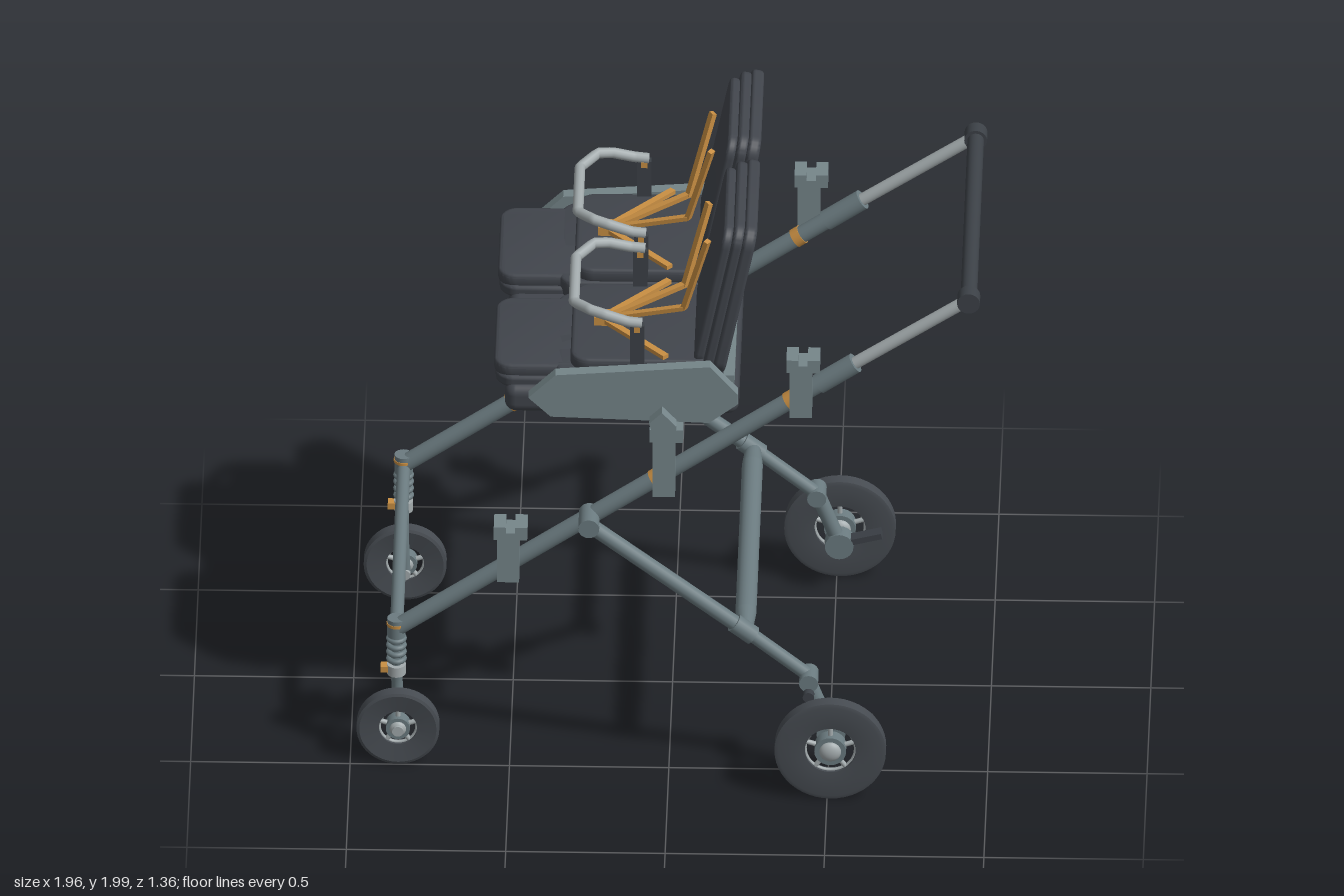
import * as THREE from 'three';
import { toCreasedNormals } from 'three/addons/utils/BufferGeometryUtils.js';
import { RoundedBoxGeometry } from 'three/addons/geometries/RoundedBoxGeometry.js';

const mat = (name, color) => {
  const m = new THREE.MeshStandardMaterial({ color });
  m.name = name;
  return m;
};
const M = {
  frame: mat('frame grey', 0x6b7b80),
  panel: mat('panel grey', 0x76868a),
  metal: mat('light metal', 0xa3abad),
  fabric: mat('dark fabric', 0x41454c),
  tyre: mat('tyre dark', 0x464b51),
  grip: mat('grip dark', 0x3c4147),
  strap: mat('orange strap', 0xc98f43),
};
const V = (x, y, z) => new THREE.Vector3(x, y, z);

function add(parent, name, geo, material, x = 0, y = 0, z = 0) {
  const m = new THREE.Mesh(geo, material);
  m.name = name;
  m.position.set(x, y, z);
  parent.add(m);
  return m;
}
const box = (p, name, w, h, d, material, x, y, z) =>
  add(p, name, new THREE.BoxGeometry(w, h, d), material, x, y, z);

// round rod between two points
function rod(p, name, a, b, r, material, r2 = r) {
  const d = b.clone().sub(a);
  const c = a.clone().add(b).multiplyScalar(0.5);
  const m = add(p, name, new THREE.CylinderGeometry(r2, r, d.length(), 20), material, c.x, c.y, c.z);
  m.quaternion.setFromUnitVectors(V(0, 1, 0), d.normalize());
  return m;
}

// flat strap between two points
function strap(p, name, a, b, w, t) {
  const m = new THREE.Mesh(new THREE.BoxGeometry(w, t, a.distanceTo(b)), M.strap);
  m.name = name;
  m.position.copy(a).add(b).multiplyScalar(0.5);
  m.lookAt(b);
  p.add(m);
}

// padded slab with rounded corners, centred, thickness along z
function slab(w, h, t, r) {
  const e = Math.min(0.012, t * 0.35), x = w / 2 - e, y = h / 2 - e;
  const s = new THREE.Shape();
  s.moveTo(-x + r, -y);
  s.lineTo(x - r, -y).absarc(x - r, -y + r, r, -Math.PI / 2, 0);
  s.lineTo(x, y - r).absarc(x - r, y - r, r, 0, Math.PI / 2);
  s.lineTo(-x + r, y).absarc(-x + r, y - r, r, Math.PI / 2, Math.PI);
  s.lineTo(-x, -y + r).absarc(-x + r, -y + r, r, Math.PI, Math.PI * 1.5);
  const g = new THREE.ExtrudeGeometry(s, {
    depth: t - 2 * e, bevelThickness: e, bevelSize: e, bevelSegments: 3, curveSegments: 6,
  });
  g.translate(0, 0, -t / 2 + e);
  return toCreasedNormals(g, 0.7);
}

// side-view polygon with thickness along z
function plate(points, z0, z1) {
  const s = new THREE.Shape(points.map(([x, y]) => new THREE.Vector2(x, y)));
  return new THREE.ExtrudeGeometry(s, { depth: z1 - z0, bevelEnabled: false }).translate(0, 0, z0);
}

function wheel(p, name, x, y, z, R, ri, w, hubR) {
  const g = new THREE.Group();
  g.name = name;
  g.position.set(x, y, z);
  const prof = [[ri, -0.3], [R * 0.93, -0.5], [R, -0.42], [R, 0.42], [R * 0.93, 0.5], [ri, 0.3], [ri, -0.3]]
    .map(([r, t]) => new THREE.Vector2(r, t * w));
  const tyre = new THREE.LatheGeometry(prof, 48).rotateX(Math.PI / 2);
  add(g, 'tyre', toCreasedNormals(tyre, 0.5), M.tyre);
  add(g, 'rim', new THREE.TorusGeometry(ri, 0.006, 8, 36), M.metal);
  add(g, 'hub', new THREE.CylinderGeometry(hubR, hubR, w * 0.9, 24).rotateX(Math.PI / 2), M.frame);
  const cap = add(g, 'hubCap', new THREE.SphereGeometry(hubR * 0.7, 20, 12), M.metal, 0, 0, w * 0.4);
  cap.scale.z = 0.6;
  for (let i = 0; i < 5; i++) {
    const a = Math.PI / 2 + i * Math.PI * 0.4, c = Math.cos(a), s = Math.sin(a);
    rod(g, 'spoke', V(c * hubR * 0.8, s * hubR * 0.8, 0), V(c * (ri + 0.004), s * (ri + 0.004), 0), 0.008, M.metal);
  }
  p.add(g);
}

// accessory socket with a notched head
function socket(p, x, y0, y1, z) {
  const h = y1 - 0.045;
  box(p, 'socketBody', 0.07, h - y0, 0.07, M.panel, x, (y0 + h) / 2, z);
  box(p, 'socketHead', 0.105, 0.025, 0.08, M.panel, x + 0.008, h + 0.0125, z);
  for (const s of [-1, 1])
    box(p, 'socketLug', 0.038, 0.022, 0.08, M.panel, x + 0.008 + s * 0.0335, h + 0.035, z);
}

// one side of the chassis, s = +1 or -1 in z
function side(s) {
  const g = new THREE.Group();
  g.name = s > 0 ? 'frontSideFrame' : 'backSideFrame';
  const z = 0.476 * s, zl = 0.53 * s;
  const onRail = t => V(-0.86 + 1.43 * t, 0.49 + t, z);

  rod(g, 'mainRail', onRail(0), onRail(1), 0.028, M.frame);
  rod(g, 'railCollar', onRail(0.93), onRail(1.01), 0.033, M.frame);
  rod(g, 'handleTube', onRail(1), V(0.94, 1.74, z), 0.02, M.metal);
  rod(g, 'handleKnuckle', V(0.94, 1.74, z - 0.025), V(0.94, 1.74, z + 0.025), 0.036, M.grip);
  for (const t of [0.245, 0.575, 0.87]) rod(g, 'railClip', onRail(t - 0.008), onRail(t + 0.008), 0.031, M.strap);

  // rear leg hinged on the rail
  const top = V(-0.25, 0.92, zl), knee = V(0.24, 0.535, zl), foot = V(0.44, 0.37, zl);
  rod(g, 'legHinge', V(-0.25, 0.92, z - 0.02 * s), V(-0.25, 0.92, zl + 0.028 * s), 0.033, M.frame);
  rod(g, 'rearLeg', top, knee, 0.025, M.frame);
  rod(g, 'rearLegLower', knee, foot, 0.022, M.frame);
  rod(g, 'legCollar', V(0.205, 0.562, zl), V(0.265, 0.515, zl), 0.031, M.frame);
  rod(g, 'ankle', V(0.44, 0.365, zl - 0.03 * s), V(0.44, 0.365, zl + 0.045 * s), 0.03, M.frame);
  rod(g, 'rearArm', V(0.44, 0.36, 0.55 * s), V(0.51, 0.175, 0.55 * s), 0.024, M.frame);
  rod(g, 'axleBoss', V(0.51, 0.175, 0.522 * s), V(0.51, 0.175, 0.575 * s), 0.045, M.frame);
  rod(g, 'rearAxle', V(0.51, 0.175, 0.54 * s), V(0.51, 0.175, 0.65 * s), 0.014, M.metal);
  rod(g, 'brakeKnob', V(0.44, 0.33, 0.55 * s), V(0.44, 0.33, 0.6 * s), 0.018, M.grip);
  const pedal = box(g, 'brakePedal', 0.13, 0.02, 0.04, M.grip, 0.58, 0.2, 0.543 * s);
  pedal.rotation.z = 0.25;
  wheel(g, 'rearWheel', 0.51, 0.175, 0.648 * s, 0.175, 0.08, 0.048, 0.05);

  // sprung front caster
  rod(g, 'casterHead', V(-0.855, 0.465, z), V(-0.855, 0.53, z), 0.029, M.frame);
  rod(g, 'casterClip', V(-0.855, 0.505, z), V(-0.855, 0.515, z), 0.031, M.strap);
  rod(g, 'springCore', V(-0.855, 0.32, z), V(-0.855, 0.48, z), 0.016, M.frame);
  for (let i = 0; i < 4; i++)
    add(g, 'springCoil', new THREE.TorusGeometry(0.024, 0.009, 8, 20).rotateX(Math.PI / 2), M.frame, -0.855, 0.38 + i * 0.025, z);
  rod(g, 'casterBase', V(-0.855, 0.325, z), V(-0.855, 0.36, z), 0.03, M.metal);
  box(g, 'casterLock', 0.025, 0.022, 0.03, M.strap, -0.892, 0.345, z);
  const fork = new THREE.CatmullRomCurve3([
    V(-0.855, 0.335, 0.47 * s), V(-0.855, 0.325, 0.432 * s), V(-0.855, 0.27, 0.418 * s), V(-0.85, 0.13, 0.418 * s)]);
  add(g, 'casterFork', new THREE.TubeGeometry(fork, 20, 0.018, 12), M.frame);
  rod(g, 'frontAxle', V(-0.85, 0.13, 0.395 * s), V(-0.85, 0.13, 0.515 * s), 0.018, M.metal);
  wheel(g, 'frontWheel', -0.85, 0.13, 0.478 * s, 0.13, 0.06, 0.045, 0.038);

  // accessory sockets clamped to the rail
  socket(g, -0.503, 0.73, 0.935, 0.54 * s);
  socket(g, -0.014, 1.055, 1.305, 0.54 * s);
  socket(g, 0.415, 1.355, 1.57, 0.54 * s);

  // seat side panel and its plug
  const [a, b] = [0.5 * s, 0.54 * s].sort((m, n) => m - n);
  add(g, 'seatSidePanel', plate([[-0.44, 1.395], [-0.37, 1.326], [0.127, 1.31], [0.217, 1.38],
    [0.217, 1.416], [0.13, 1.517], [-0.355, 1.48]], a, b), M.panel);
  const [c, d] = [0.505 * s, 0.58 * s].sort((m, n) => m - n);
  add(g, 'seatPlug', plate([[-0.045, 1.27], [0.025, 1.27], [0.025, 1.32], [-0.02, 1.37], [-0.06, 1.33]], c, d), M.panel);
  return g;
}

// one seat, centred on z = zc
function seat(zc) {
  const g = new THREE.Group();
  g.name = 'seat';
  g.position.z = zc;
  const flat = (name, x0, x1, y0, y1, w, r) => add(g, name,
    slab(x1 - x0, w, y1 - y0, r).rotateX(-Math.PI / 2), M.fabric, (x0 + x1) / 2, (y0 + y1) / 2, 0);
  flat('legRestLower', -0.545, -0.2, 1.39, 1.43, 0.43, 0.05);
  flat('legRestPad', -0.55, -0.22, 1.42, 1.465, 0.405, 0.045);
  flat('seatPadLower', -0.36, 0.17, 1.40, 1.465, 0.475, 0.05);
  flat('seatPad', -0.31, 0.15, 1.455, 1.505, 0.455, 0.05);

  // reclined backrest in three layers
  const back = new THREE.Group();
  back.name = 'backrest';
  back.position.set(0.125, 1.455, 0);
  back.rotation.z = -0.2;
  [[0.026, 0.04, 0.548, 0.484], [-0.008, 0.036, 0.54, 0.462], [-0.04, 0.032, 0.52, 0.43]].forEach(([x, t, h, w], i) =>
    add(back, 'backLayer' + (i + 1), slab(w, h, t, 0.05).rotateY(Math.PI / 2), M.fabric, x, h / 2, 0));
  g.add(back);

  // harness
  box(g, 'buckle', 0.05, 0.03, 0.05, M.strap, -0.215, 1.52, 0);
  for (const s of [-1, 1]) {
    strap(g, 'lapStrap', V(-0.215, 1.518, 0), V(-0.01, 1.518, 0.222 * s), 0.022, 0.014);
    strap(g, 'shoulderStrapLower', V(-0.2, 1.52, 0), V(0.045, 1.605, 0.068 * s), 0.022, 0.014);
    strap(g, 'shoulderStrapUpper', V(0.043, 1.6, 0.066 * s), V(0.118, 1.88, 0.112 * s), 0.022, 0.016);
    // bumper bar posts
    box(g, 'bumperPost', 0.045, 0.15, 0.024, M.grip, -0.1, 1.56, 0.218 * s);
    box(g, 'postButton', 0.02, 0.02, 0.028, M.strap, -0.1, 1.622, 0.218 * s);
  }
  // bumper bar
  const pts = [[-0.085, 1.64, 0.218], [-0.13, 1.645, 0.218], [-0.2, 1.665, 0.21], [-0.245, 1.672, 0.195], [-0.3, 1.66, 0.13]];
  const path = new THREE.CurvePath();
  const all = [...pts.map(p => V(...p)), ...pts.slice().reverse().map(([x, y, z]) => V(x, y, -z))];
  for (let i = 1; i < all.length; i++) path.add(new THREE.LineCurve3(all[i - 1], all[i]));
  add(g, 'bumperBar', new THREE.TubeGeometry(path, 60, 0.017, 12), M.metal);
  return g;
}

export function createModel() {
  const root = new THREE.Group();
  root.name = 'doubleStroller';
  root.add(side(1), side(-1), seat(0.262), seat(-0.262));

  // shared seat base
  add(root, 'seatBase', new RoundedBoxGeometry(0.735, 0.1, 1.0, 4, 0.035), M.fabric, -0.148, 1.357, 0);
  box(root, 'seatRearRail', 0.1, 0.045, 0.9, M.panel, 0.155, 1.408, 0);
  box(root, 'seatDivider', 0.05, 0.06, 0.05, M.fabric, 0.15, 1.455, 0);

  // cross members
  rod(root, 'handleGrip', V(0.94, 1.74, -0.47), V(0.94, 1.74, 0.47), 0.026, M.grip);
  rod(root, 'frontCrossbar', V(-0.855, 0.485, -0.476), V(-0.855, 0.485, 0.476), 0.021, M.frame);
  rod(root, 'rearCrossbar', V(0.24, 0.535, -0.43), V(0.24, 0.535, 0.43), 0.033, M.frame);
  for (const s of [-1, 1])
    rod(root, 'rearCrossbarEnd', V(0.24, 0.535, 0.43 * s), V(0.24, 0.535, 0.53 * s), 0.033, M.frame, 0.024);
  return root;
}
